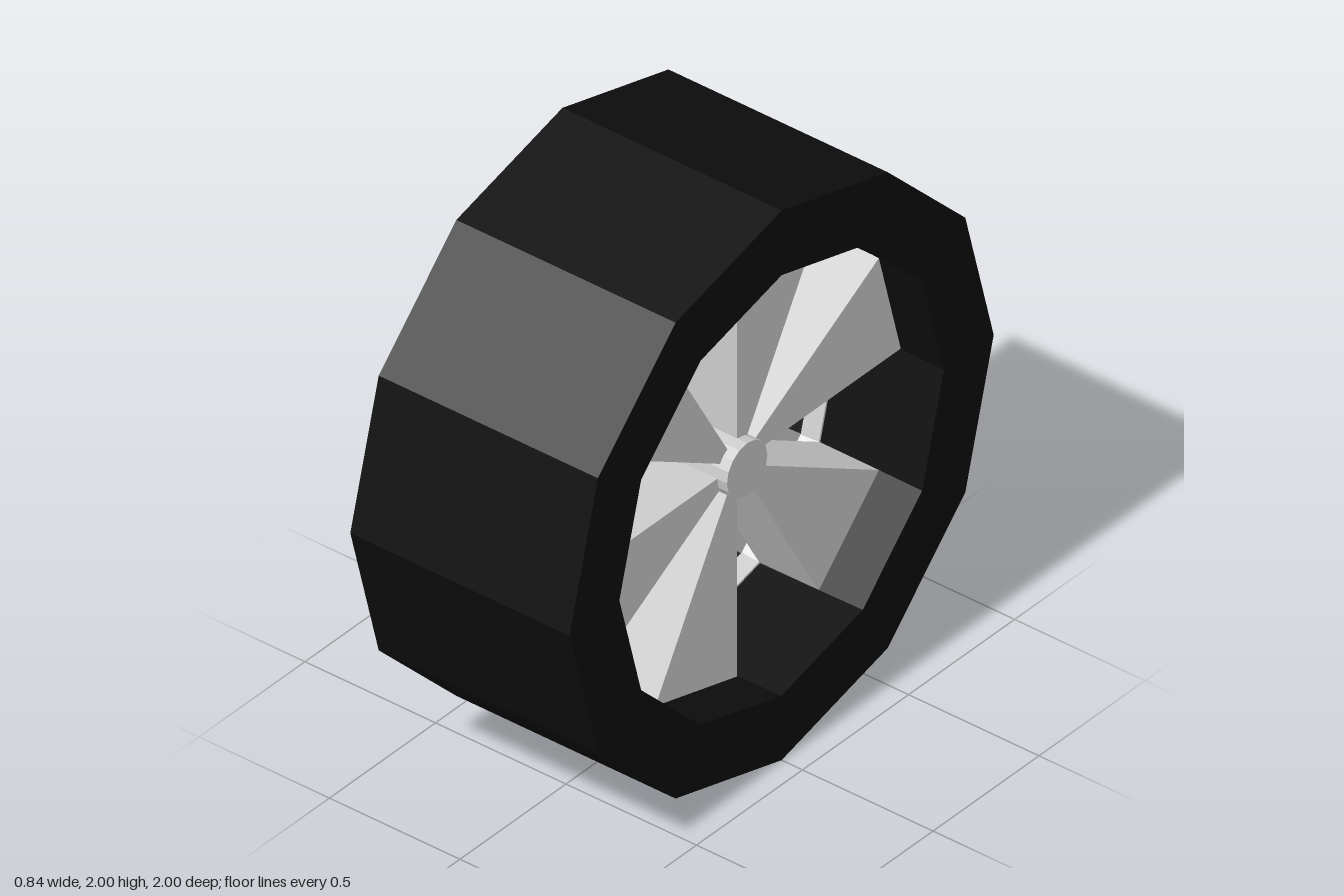
import * as THREE from 'three';

const SIDES = 12;
const rubber = new THREE.MeshStandardMaterial({ color: 0x0d0d0d, flatShading: true });
rubber.name = 'black rubber';
const metal = new THREE.MeshStandardMaterial({ color: 0xcccccc, flatShading: true });
metal.name = 'light grey metal';

// Closed ring around the x axis from [radius, x] points
function ring(name, profile, material) {
  const points = [...profile, profile[0]].map(([r, x]) => new THREE.Vector2(r, x));
  const geometry = new THREE.LatheGeometry(points, SIDES).rotateZ(-Math.PI / 2);
  const mesh = new THREE.Mesh(geometry, material);
  mesh.name = name;
  return mesh;
}

export function createModel() {
  const wheel = new THREE.Group();
  wheel.name = 'wheel';
  const axle = new THREE.Group();
  axle.name = 'wheelAssembly';
  axle.position.y = 1;
  wheel.add(axle);

  // Tyre: flat tread and sidewalls, opening narrower at the inner side
  axle.add(ring('tyre', [[1, -0.42], [1, 0.42], [0.765, 0.42], [0.78, 0], [0.69, -0.42]], rubber));

  // Narrow rim band behind the spokes
  axle.add(ring('rimBand', [[0.79, -0.04], [0.79, 0.02], [0.772, 0.02], [0.757, -0.04]], metal));

  // Six wedge spokes, each one side of the twelve-sided rim wide
  const wedge = new THREE.Shape();
  wedge.moveTo(0, 0);
  wedge.lineTo(0.772, 0);
  wedge.lineTo(0.772 * Math.cos(Math.PI / 6), 0.772 * Math.sin(Math.PI / 6));
  wedge.closePath();
  const spokeGeometry = new THREE.ExtrudeGeometry(wedge, { depth: 0.23, bevelEnabled: false })
    .rotateY(Math.PI / 2)
    .translate(0.02, 0, 0);
  for (let i = 0; i < 6; i++) {
    const spoke = new THREE.Mesh(spokeGeometry, metal);
    spoke.name = `spoke${i + 1}`;
    spoke.rotation.x = (i * Math.PI) / 3;
    axle.add(spoke);
  }

  // Hub standing slightly proud of the spokes
  const hub = new THREE.Mesh(
    new THREE.CylinderGeometry(0.095, 0.095, 0.27, 16).rotateZ(-Math.PI / 2),
    metal
  );
  hub.name = 'hub';
  hub.position.x = 0.153;
  axle.add(hub);

  return wheel;
}
